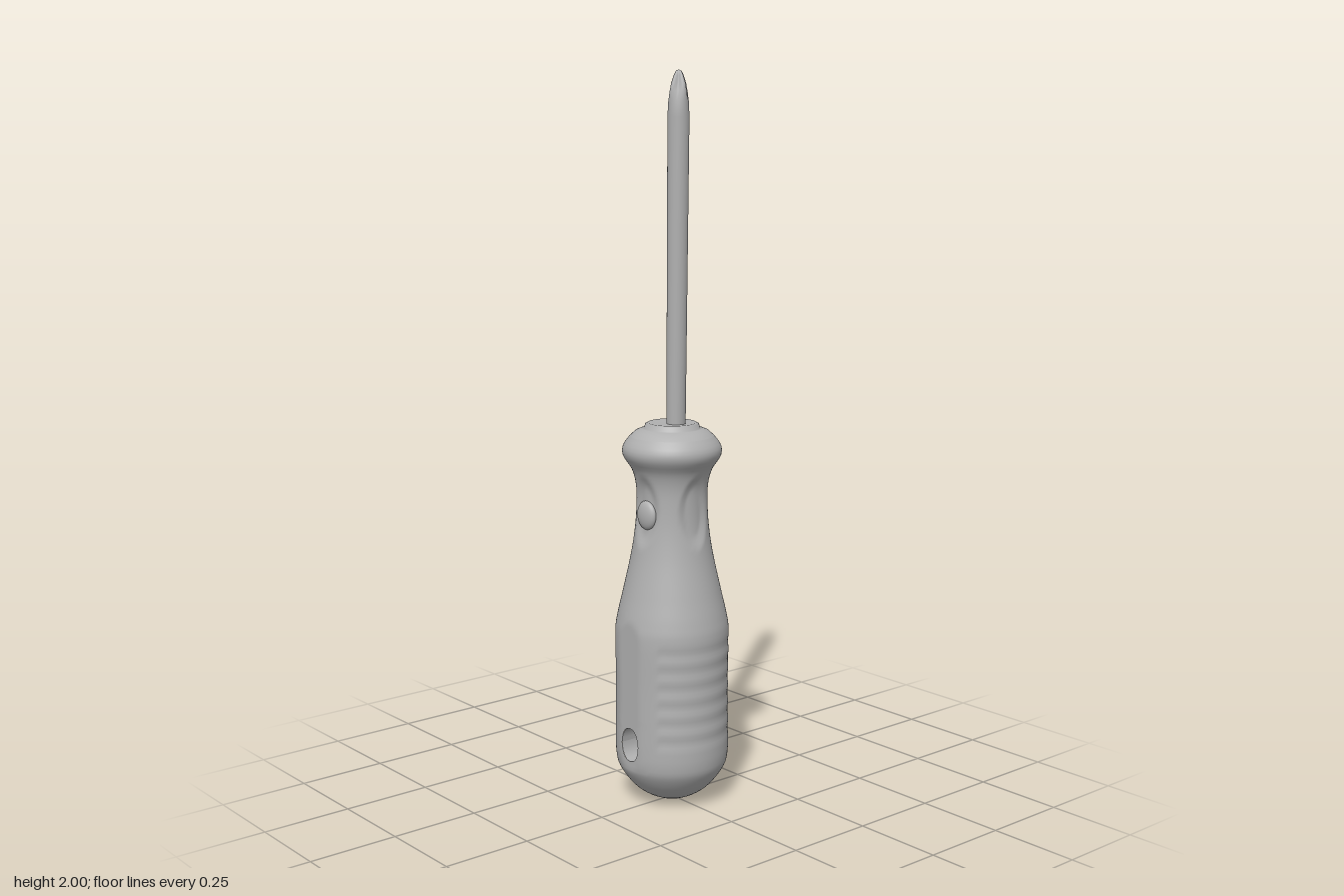
import * as THREE from 'three';

const STEP = 0.0102, SEGS = 96;
const HOLE = { row: 18, inner: 3, outer: 7, halfWidth: 0.034, halfHeight: 0.049 };

// Closed-in-the-round surface from rows of points; skip(i, j) leaves a quad out.
function loft(rows, segs, point, skip = () => false) {
  const pos = [], index = [];
  for (let i = 0; i < rows; i++)
    for (let j = 0; j < segs; j++) pos.push(...point(i, j));
  for (let i = 0; i < rows - 1; i++)
    for (let j = 0; j < segs; j++) {
      if (skip(i, j)) continue;
      const a = i * segs + j, b = i * segs + (j + 1) % segs;
      index.push(a, a + segs, b, b, a + segs, b + segs);
    }
  const g = new THREE.BufferGeometry();
  g.setAttribute('position', new THREE.Float32BufferAttribute(pos, 3));
  g.setIndex(index);
  g.computeVertexNormals();
  return g;
}

// Handle radius by height
const outline = new THREE.SplineCurve([
  [0, 0], [0.008, 0.045], [0.03, 0.088], [0.06, 0.12], [0.1, 0.147], [0.13, 0.155], [0.18, 0.157],
  [0.34, 0.156], [0.48, 0.157], [0.53, 0.151], [0.6, 0.135], [0.7, 0.113], [0.78, 0.101], [0.85, 0.097],
  [0.9, 0.099], [0.94, 0.11], [0.97, 0.13], [0.99, 0.136], [1.01, 0.13], [1.035, 0.11],
].map(([y, r]) => new THREE.Vector2(y, r))).getPoints(500);

function radiusAt(y) {
  let k = 1;
  while (k < outline.length - 1 && outline[k].x < y) k++;
  const a = outline[k - 1], b = outline[k];
  return THREE.MathUtils.mapLinear(Math.min(y, b.x), a.x, b.x, a.y, b.y);
}

// Steps from the nearest side of the handle (+x or -x)
const half = SEGS / 2;
const sideStep = (j) => ((j + half / 2) % half) - half / 2;

function handlePoint(i, j) {
  let y = i * STEP;
  const dv = i - HOLE.row, du = sideStep(j), ring = Math.max(Math.abs(du), Math.abs(dv));
  let local = du * 2 * Math.PI / SEGS;
  const base = (j - du) * 2 * Math.PI / SEGS;
  // Bend the grid round the hanging hole
  if (ring >= HOLE.inner && ring < HOLE.outer) {
    const t = (ring - HOLE.inner) / (HOLE.outer - HOLE.inner), a = Math.atan2(dv, du);
    local = THREE.MathUtils.lerp(Math.asin(HOLE.halfWidth * Math.cos(a) / 0.156), local, t);
    y = THREE.MathUtils.lerp(HOLE.row * STEP + HOLE.halfHeight * Math.sin(a), y, t);
  }
  const theta = base + local;
  let r = radiusAt(y);
  // Finger dishes on four sides of the neck
  const off = Math.abs(Math.sin(2 * theta));
  const rise = (y - 0.83) / 0.1;
  const dish = 1 - rise * rise - off * off * 1.3;
  if (dish > 0) r -= 0.009 * Math.min(1, dish * 1.8);
  // Shallow grip ribs on front and back
  if (y > 0.18 && y < 0.48 && Math.abs(Math.sin(theta)) > 0.6)
    r -= 0.0012 * (1 - Math.cos((y - 0.18) / 0.05 * Math.PI * 2));
  // Flat sides
  const x = THREE.MathUtils.clamp(r * Math.cos(theta), -0.151, 0.151);
  return [x, y, r * Math.sin(theta)];
}

export function createModel() {
  const model = new THREE.Group();
  model.name = 'screwdriver';
  const grey = new THREE.MeshStandardMaterial({ color: 0xb0b0b0 });
  grey.name = 'plain grey';
  const add = (name, geometry) => {
    const m = new THREE.Mesh(geometry, grey);
    m.name = name;
    model.add(m);
    return m;
  };

  // Handle, with the hole left open on both sides
  const inHole = (i, j) => {
    const d = sideStep(j), dv = i - HOLE.row, n = HOLE.inner;
    return d >= -n && d < n && dv >= -n && dv < n;
  };
  add('handle', loft(102, SEGS, handlePoint, inHole));

  // Tunnel through the handle, facing inward
  const tunnel = new THREE.CylinderGeometry(1, 1, 0.302, 24, 1, true);
  tunnel.rotateZ(Math.PI / 2);
  tunnel.scale(1, HOLE.halfHeight, -HOLE.halfWidth);
  tunnel.translate(0, HOLE.row * STEP, 0);
  tunnel.computeVertexNormals();
  add('hangingHole', tunnel);

  // Stepped collar on top of the handle
  add('collar', new THREE.LatheGeometry([
    [0.115, 1.029], [0.1, 1.043], [0.082, 1.05], [0.076, 1.051], [0.073, 1.062],
    [0.066, 1.066], [0.05, 1.064], [0, 1.064],
  ].map(([r, y]) => new THREE.Vector2(r, y)), 64));

  // Small bumps in the side dishes
  for (const side of [1, -1]) {
    const bump = add('gripBump', new THREE.SphereGeometry(1, 24, 16));
    bump.scale.set(0.016, 0.04, 0.036);
    bump.position.set(side * 0.089, 0.82, 0);
  }

  // Shaft and cross tip: height, radius, flute depth
  const sections = [
    [1.04, 0.026, 0], [1.3, 0.027, 0], [1.6, 0.028, 0], [1.88, 0.029, 0], [1.92, 0.029, 0.08],
    [1.945, 0.028, 0.3], [1.965, 0.024, 0.42], [1.985, 0.016, 0.42], [1.997, 0.009, 0.3], [2, 0, 0],
  ];
  add('shaft', loft(sections.length, 32, (i, j) => {
    const [y, radius, flute] = sections[i], a = j / 32 * Math.PI * 2;
    const r = radius * (1 - flute * Math.sin(2 * a) ** 2);
    const t = (y - 1.04) / 0.96;
    return [0.003 + r * Math.cos(a), y, 0.013 + 0.011 * t + r * Math.sin(a)];
  }));

  return model;
}
